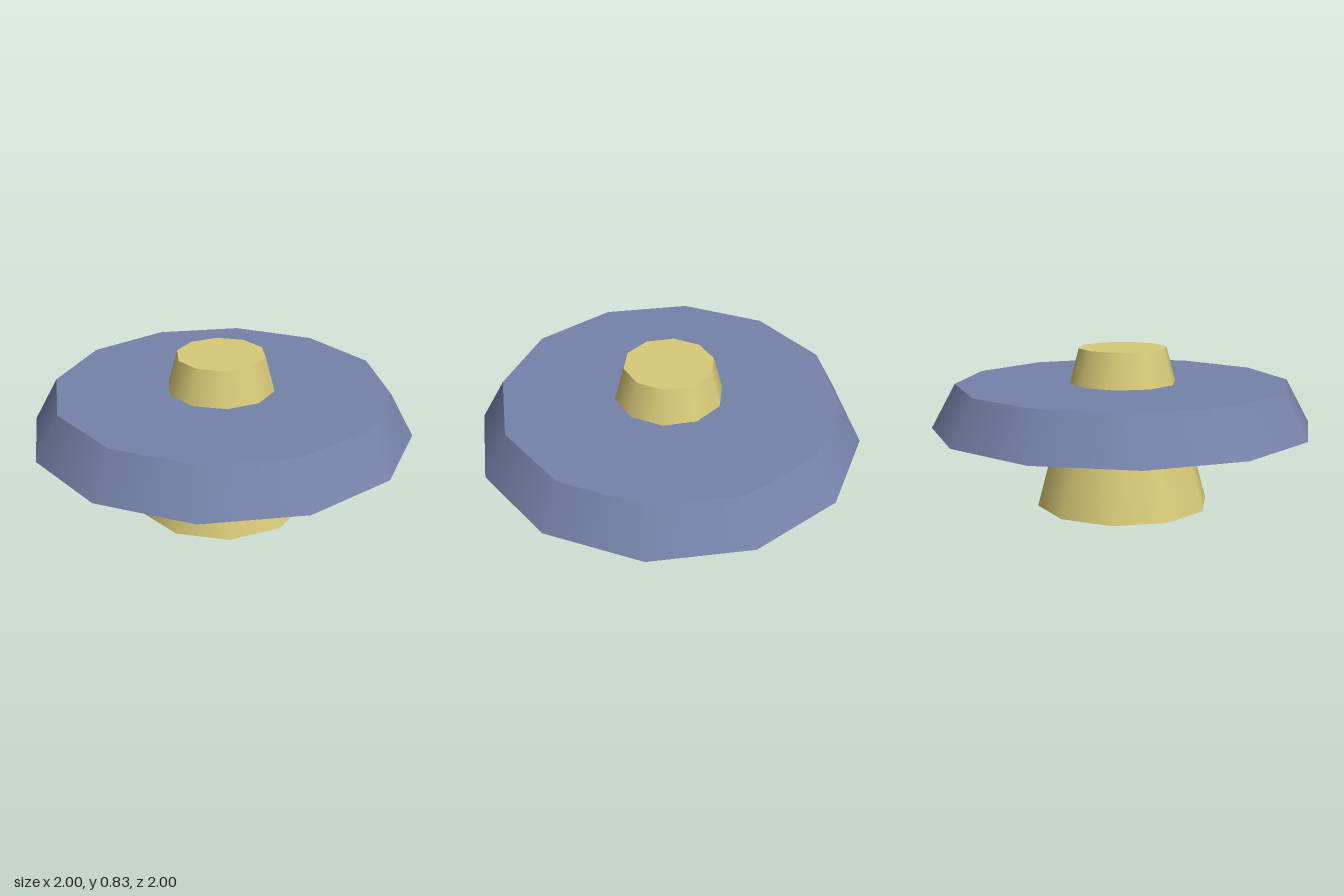
import * as THREE from 'three';

export function createModel() {
  const model = new THREE.Group();
  const yellow = new THREE.MeshStandardMaterial({ color: 0xd9ca78 });
  yellow.name = 'sand yellow';
  const blue = new THREE.MeshStandardMaterial({ color: 0x7583a9 });
  blue.name = 'slate blue';

  // Tapered solid standing between two heights, with a corner on the x axis
  function taper(name, rTop, rBottom, y0, y1, sides, material) {
    const geometry = new THREE.CylinderGeometry(rTop, rBottom, y1 - y0, sides);
    geometry.rotateY(Math.PI / 2);
    geometry.translate(0, (y0 + y1) / 2, 0);
    const mesh = new THREE.Mesh(geometry, material);
    mesh.name = name;
    model.add(mesh);
  }

  // Central post running through the disc
  taper('centralPost', 0.233, 0.457, 0, 0.832, 10, yellow);
  // Wide bevelled disc
  taper('disc', 0.875, 1, 0.42, 0.65, 12, blue);

  return model;
}
